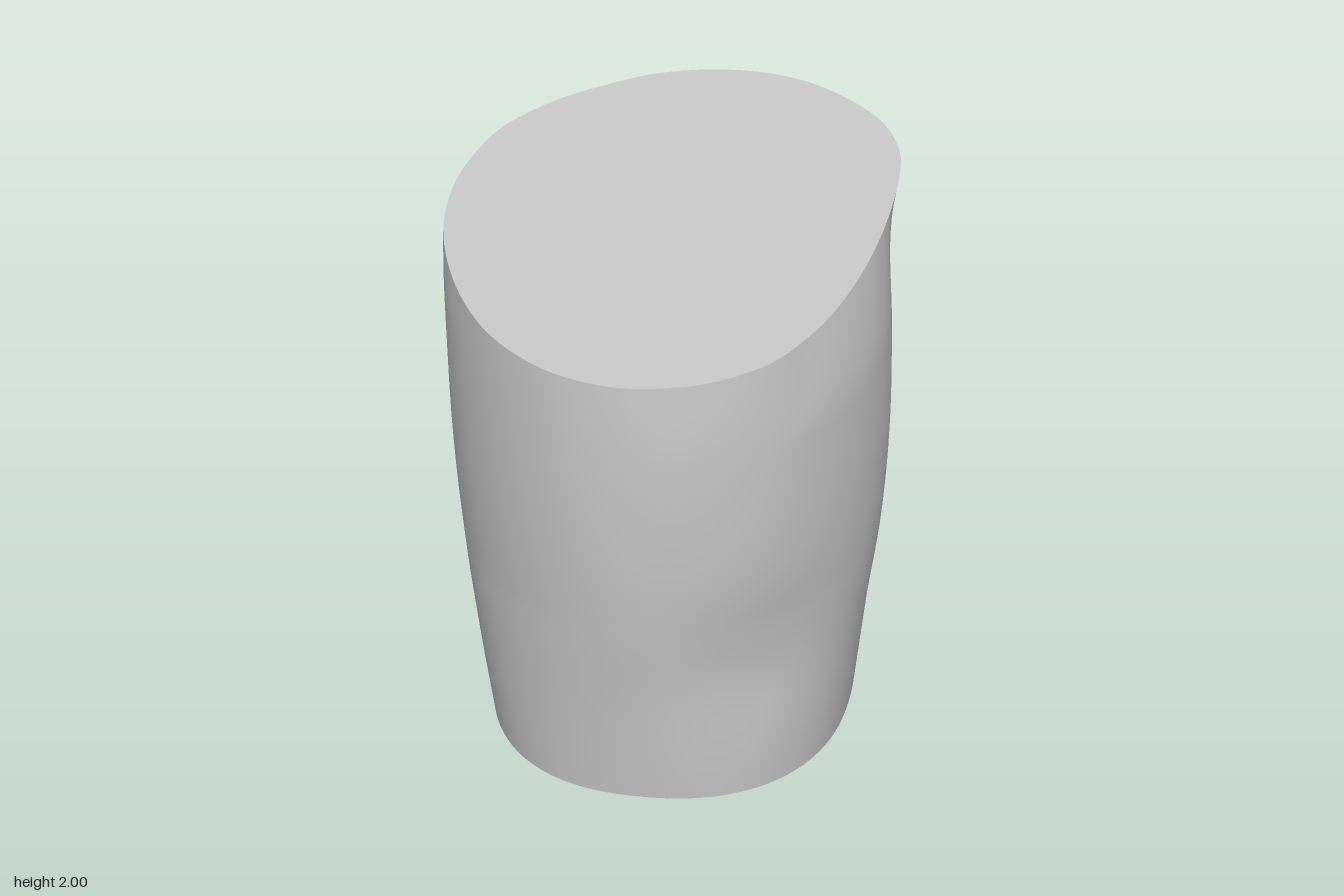
import * as THREE from 'three';

const SEGMENTS = 112, ROWS = 48, HEIGHT = 2;

// Rim outline [x, z], with the pouring lip bulging towards +x, -z
const RIM = [
  [0, 0.96], [0.14, 0.935], [0.28, 0.885], [0.41, 0.8], [0.51, 0.7], [0.59, 0.56], [0.65, 0.42],
  [0.7, 0.24], [0.735, 0.05], [0.755, -0.15], [0.76, -0.33], [0.755, -0.45], [0.74, -0.56],
  [0.7, -0.66], [0.64, -0.75], [0.56, -0.82], [0.45, -0.89], [0.33, -0.94], [0.18, -0.965],
  [0.05, -0.96], [-0.08, -0.935], [-0.22, -0.885], [-0.36, -0.8], [-0.5, -0.7], [-0.61, -0.59],
  [-0.69, -0.48], [-0.745, -0.35], [-0.785, -0.2], [-0.8, -0.05], [-0.79, 0.13], [-0.75, 0.3],
  [-0.69, 0.46], [-0.61, 0.61], [-0.52, 0.73], [-0.4, 0.835], [-0.27, 0.91], [-0.13, 0.95],
];

// Body half-widths at evenly spaced heights from base to rim
const spline = (xs, zs) => new THREE.CatmullRomCurve3(
  xs.map((x, i) => new THREE.Vector3(x, (HEIGHT * i) / (xs.length - 1), zs[i])), false, 'catmullrom');
const minusSide = spline([0.61, 0.675, 0.73, 0.765, 0.785, 0.8], [0.71, 0.77, 0.81, 0.825, 0.82, 0.82]);
const plusSide = spline([0.65, 0.7, 0.757, 0.785, 0.79, 0.785], [0.7, 0.77, 0.845, 0.905, 0.945, 0.96]);

// Radius of the body at a polar angle: squarish oval at the base, plain oval above
function bodyRadius(angle, t) {
  const lo = minusSide.getPoint(t), hi = plusSide.getPoint(t);
  const c = Math.cos(angle), s = Math.sin(angle), y = t * HEIGHT;
  const n = 2 + 0.3 * Math.max(0, 1 - y / 0.8);
  const rx = c > 0 ? hi.x : lo.x, rz = s > 0 ? hi.z : lo.z;
  const r = Math.pow(Math.pow(Math.abs(c) / rx, n) + Math.pow(Math.abs(s) / rz, n), -1 / n);
  // Shallow dent low on the front corner
  const dent = 0.03 * Math.exp(-(((y - 0.6) / 0.3) ** 2) - ((angle - 0.95) / 0.4) ** 2);
  return r - dent;
}

function makeGeometry(positions, indices) {
  const g = new THREE.BufferGeometry();
  g.setAttribute('position', new THREE.Float32BufferAttribute(positions, 3));
  g.setIndex(indices);
  g.computeVertexNormals();
  return g;
}

export function createModel() {
  const group = new THREE.Group();
  group.name = 'pouringCup';
  const material = new THREE.MeshStandardMaterial({ color: 0xcccccc });
  const add = (name, geometry) => {
    const mesh = new THREE.Mesh(geometry, material);
    mesh.name = name;
    group.add(mesh);
  };

  const rim = new THREE.CatmullRomCurve3(RIM.map(([x, z]) => new THREE.Vector3(x, HEIGHT, z)), true)
    .getSpacedPoints(SEGMENTS).slice(0, SEGMENTS);

  // Rings that flow from the oval body out to the lipped rim
  const rings = [];
  for (let i = 0; i <= ROWS; i++) {
    const t = i / ROWS, y = t * HEIGHT;
    const flare = Math.pow(Math.max(0, (y - 1.6) / 0.4), 1.78);
    rings.push(rim.map((p) => {
      const angle = Math.atan2(p.z, p.x);
      const r = THREE.MathUtils.lerp(bodyRadius(angle, t), Math.hypot(p.x, p.z), flare);
      return [r * Math.cos(angle), y, r * Math.sin(angle)];
    }));
  }

  // Wall
  const wall = [];
  for (let i = 0; i < ROWS; i++) {
    for (let j = 0; j < SEGMENTS; j++) {
      const k = (j + 1) % SEGMENTS;
      const a = i * SEGMENTS + j, b = i * SEGMENTS + k;
      wall.push(a, b, b + SEGMENTS, a, b + SEGMENTS, a + SEGMENTS);
    }
  }
  add('wall', makeGeometry(rings.flat(2), wall));

  // Flat top and base
  const cap = (ring, up) => {
    const idx = [];
    for (let j = 0; j < SEGMENTS; j++) {
      const k = (j + 1) % SEGMENTS;
      idx.push(SEGMENTS, up ? j : k, up ? k : j);
    }
    return makeGeometry([...ring.flat(), 0, ring[0][1], 0], idx);
  };
  add('topSurface', cap(rings[ROWS], true));
  add('base', cap(rings[0], false));

  return group;
}
